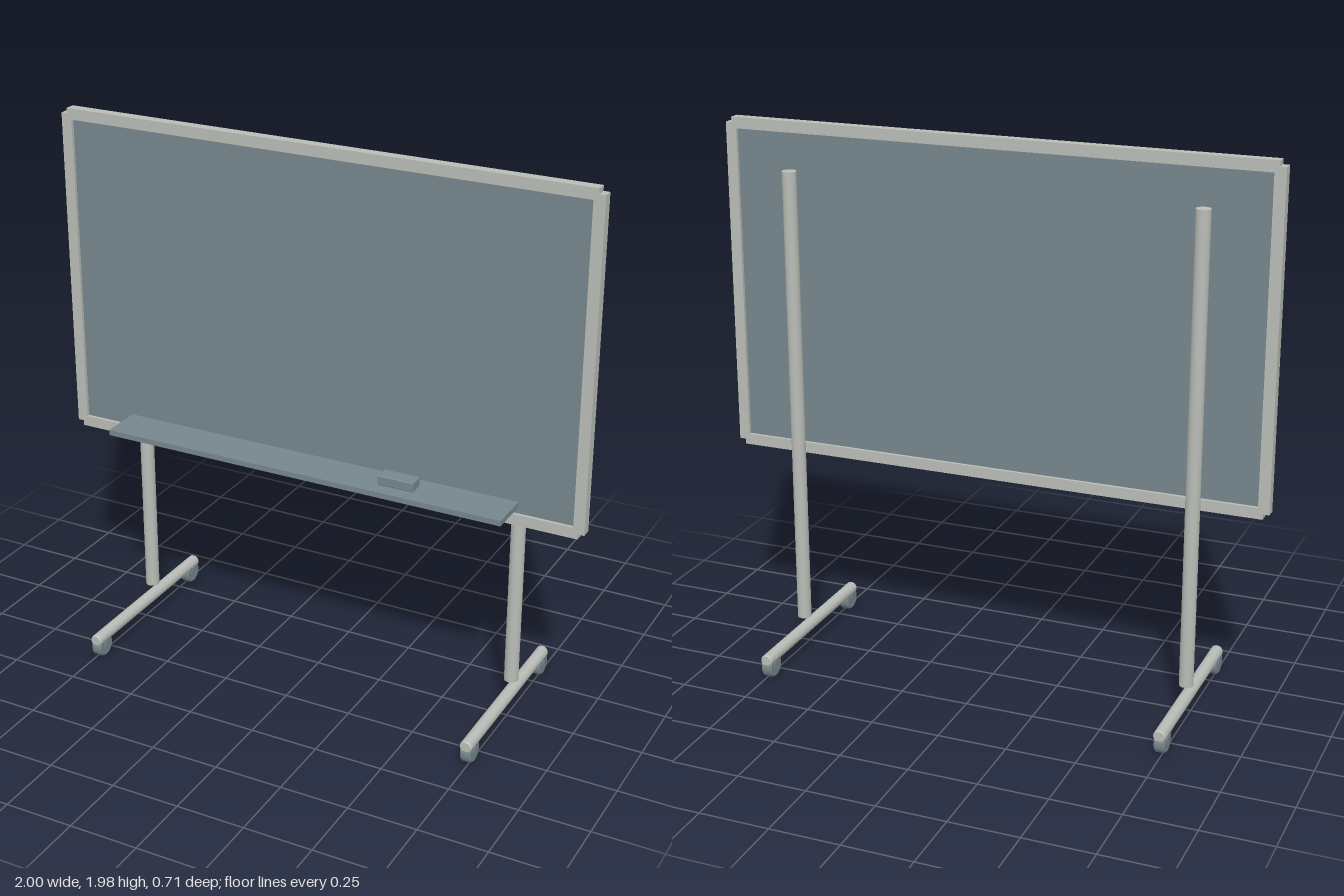
import * as THREE from 'three';
import { RoundedBoxGeometry } from 'three/addons/geometries/RoundedBoxGeometry.js';

export function createModel() {
  const model = new THREE.Group();
  model.name = 'mobileBoard';
  const metal = new THREE.MeshStandardMaterial({ color: 0xb9bcb6 });
  const slate = new THREE.MeshStandardMaterial({ color: 0x76878d });

  const add = (name, geometry, material, x, y, z, parent = model) => {
    const mesh = new THREE.Mesh(geometry, material);
    mesh.name = name;
    mesh.position.set(x, y, z);
    parent.add(mesh);
    return mesh;
  };

  // Writing panel, recessed in the frame on both faces
  add('panel', new THREE.BoxGeometry(1.93, 1.15, 0.014), slate, 0, 1.373, 0);

  // Frame: rails run past the side bars, leaving notched corners
  for (const [name, y] of [['topRail', 1.96], ['bottomRail', 0.787]])
    add(name, new THREE.BoxGeometry(1.955, 0.04, 0.038), metal, 0, y, 0);
  for (const side of [-1, 1])
    add(side > 0 ? 'leftSideBar' : 'rightSideBar',
      new THREE.BoxGeometry(0.04, 1.175, 0.038), metal, side * 0.98, 1.3735, 0);

  // Tray and eraser
  add('tray', new THREE.BoxGeometry(1.525, 0.02, 0.155), slate, 0, 0.844, 0.0925);
  add('eraser', new RoundedBoxGeometry(0.135, 0.036, 0.058, 2, 0.005), slate, 0.358, 0.877, 0.099);

  // Round foot bar with slightly chamfered ends, turned about its length
  const footProfile = [[0, -0.353], [0.019, -0.353], [0.0225, -0.347], [0.0225, 0.347],
    [0.019, 0.353], [0, 0.353]].map(([r, l]) => new THREE.Vector2(r, l));
  const footGeometry = new THREE.LatheGeometry(footProfile, 24).toNonIndexed();
  footGeometry.deleteAttribute('normal');
  footGeometry.computeVertexNormals();
  footGeometry.rotateX(Math.PI / 2);

  // Wheel with rounded tread and a raised hub
  const wheelProfile = [[0, -0.022], [0.018, -0.022], [0.018, -0.02], [0.036, -0.02], [0.042, -0.014],
    [0.042, 0.014], [0.036, 0.02], [0.018, 0.02], [0.018, 0.022], [0, 0.022]]
    .map(([r, l]) => new THREE.Vector2(r, l));
  const wheelGeometry = new THREE.LatheGeometry(wheelProfile, 32).toNonIndexed();
  wheelGeometry.deleteAttribute('normal');
  wheelGeometry.computeVertexNormals();
  wheelGeometry.rotateZ(Math.PI / 2);

  // Stand: one post, foot bar and pair of wheels on each side
  for (const side of [-1, 1]) {
    const stand = new THREE.Group();
    stand.name = side > 0 ? 'leftStand' : 'rightStand';
    stand.position.x = side * 0.743;
    model.add(stand);
    add('post', new THREE.CylinderGeometry(0.0255, 0.0255, 1.69, 32), metal, 0, 0.967, -0.046, stand);
    add('footBar', footGeometry, metal, 0, 0.0725, 0, stand);
    for (const end of [-1, 1])
      add(end > 0 ? 'frontWheel' : 'backWheel', wheelGeometry, slate, 0, 0.042, end * 0.314, stand);
  }

  return model;
}
